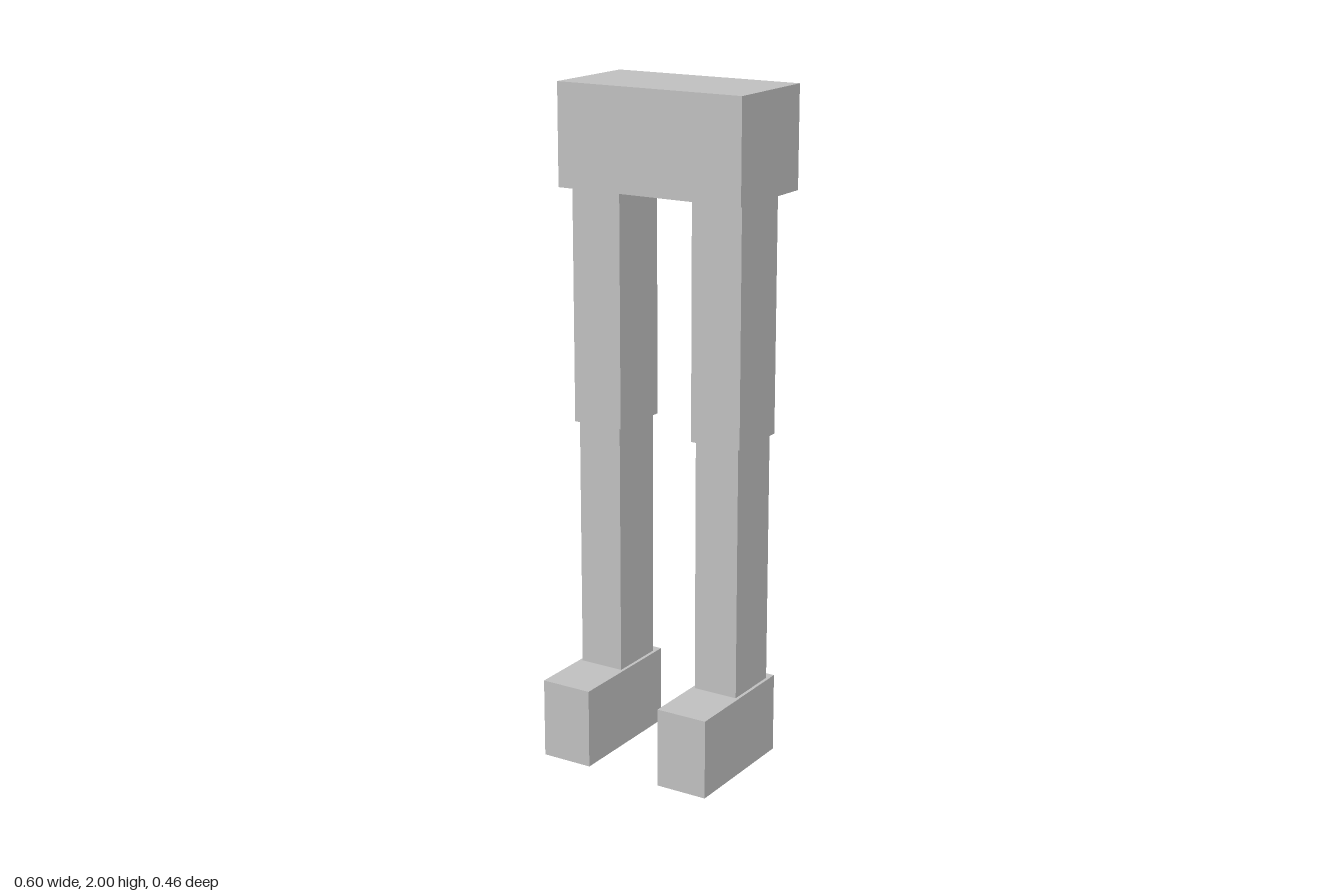
import * as THREE from 'three';

export function createModel() {
  const model = new THREE.Group();
  model.name = 'legs';
  const grey = new THREE.MeshStandardMaterial({ color: 0xc0c0c0 });
  grey.name = 'light grey';

  // Box given by its size and the centre of its base
  function addBox(parent, name, [w, h, d], [x, y, z]) {
    const mesh = new THREE.Mesh(new THREE.BoxGeometry(w, h, d), grey);
    mesh.name = name;
    mesh.position.set(x, y + h / 2, z);
    parent.add(mesh);
  }

  // Hip block
  addBox(model, 'hips', [0.6, 0.3, 0.32], [0, 1.7, -0.07]);

  // Mirrored legs: thigh, slimmer shin, and foot reaching forward
  for (const [side, s] of [['left', 1], ['right', -1]]) {
    const leg = new THREE.Group();
    leg.name = side + 'Leg';
    leg.position.x = s * 0.2;
    addBox(leg, side + 'Thigh', [0.16, 0.7, 0.2], [0, 1.0, -0.05]);
    addBox(leg, side + 'Shin', [0.14, 0.76, 0.18], [0, 0.24, -0.05]);
    addBox(leg, side + 'Foot', [0.16, 0.24, 0.4], [0, 0, 0.03]);
    model.add(leg);
  }
  return model;
}
